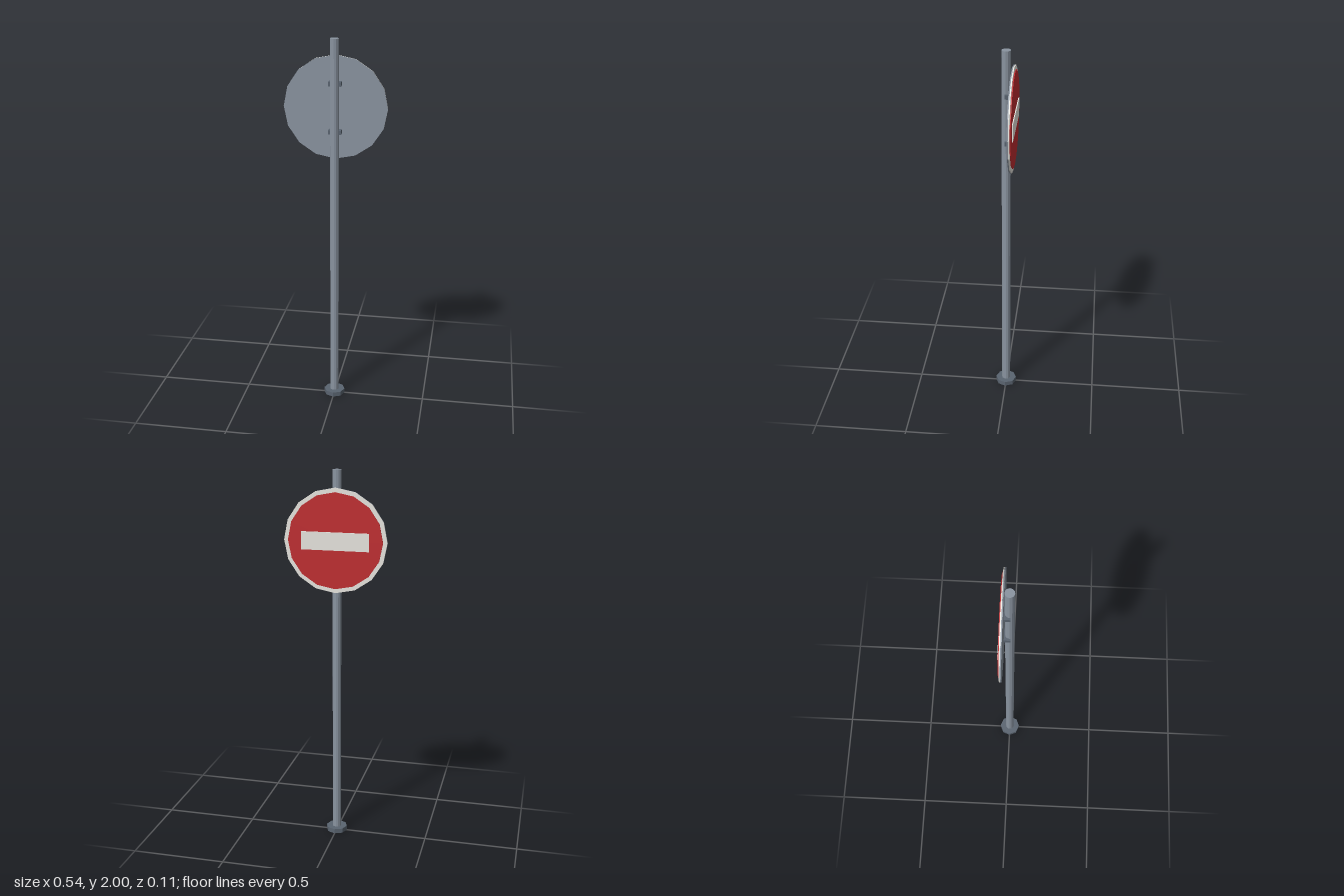
import * as THREE from 'three';

const paint = (name, color) => {
  const m = new THREE.MeshStandardMaterial({ color });
  m.name = name;
  m.flatShading = true;
  return m;
};

export function createModel() {
  const steel = paint('galvanised steel', 0x8a94a0);
  const dark = paint('dark steel', 0x5a6470);
  const white = paint('sign white', 0xe8e6e0);
  const red = paint('sign red', 0xc02d30);

  const group = new THREE.Group();
  group.name = 'roadSign';
  const add = (name, geometry, material, x, y, z) => {
    const mesh = new THREE.Mesh(geometry, material);
    mesh.name = name;
    mesh.position.set(x, y, z);
    group.add(mesh);
  };

  // Post on an octagonal foot
  add('foot', new THREE.CylinderGeometry(0.057, 0.057, 0.025, 8), dark, 0, 0.0125, 0);
  add('post', new THREE.CylinderGeometry(0.0235, 0.0235, 1.98, 12), steel, 0, 1.01, 0);

  // Clamps holding the sign to the post
  for (const y of [1.52, 1.77]) {
    add('clamp', new THREE.BoxGeometry(0.067, 0.022, 0.033), dark, 0, y, -0.0115);
  }

  // Sign layers, stacked towards -z: backing, border, face
  const signY = 1.643;
  const disc = (name, radius, zNear, zFar, material) => {
    const g = new THREE.CylinderGeometry(radius, radius, zNear - zFar, 16);
    g.rotateX(Math.PI / 2);
    add(name, g, material, 0, signY, (zNear + zFar) / 2);
  };
  disc('backing', 0.27, -0.028, -0.034, steel);
  disc('border', 0.27, -0.034, -0.04, white);
  disc('face', 0.248, -0.04, -0.045, red);

  // Horizontal bar
  add('bar', new THREE.BoxGeometry(0.354, 0.093, 0.005), white, 0, signY, -0.0475);

  return group;
}
